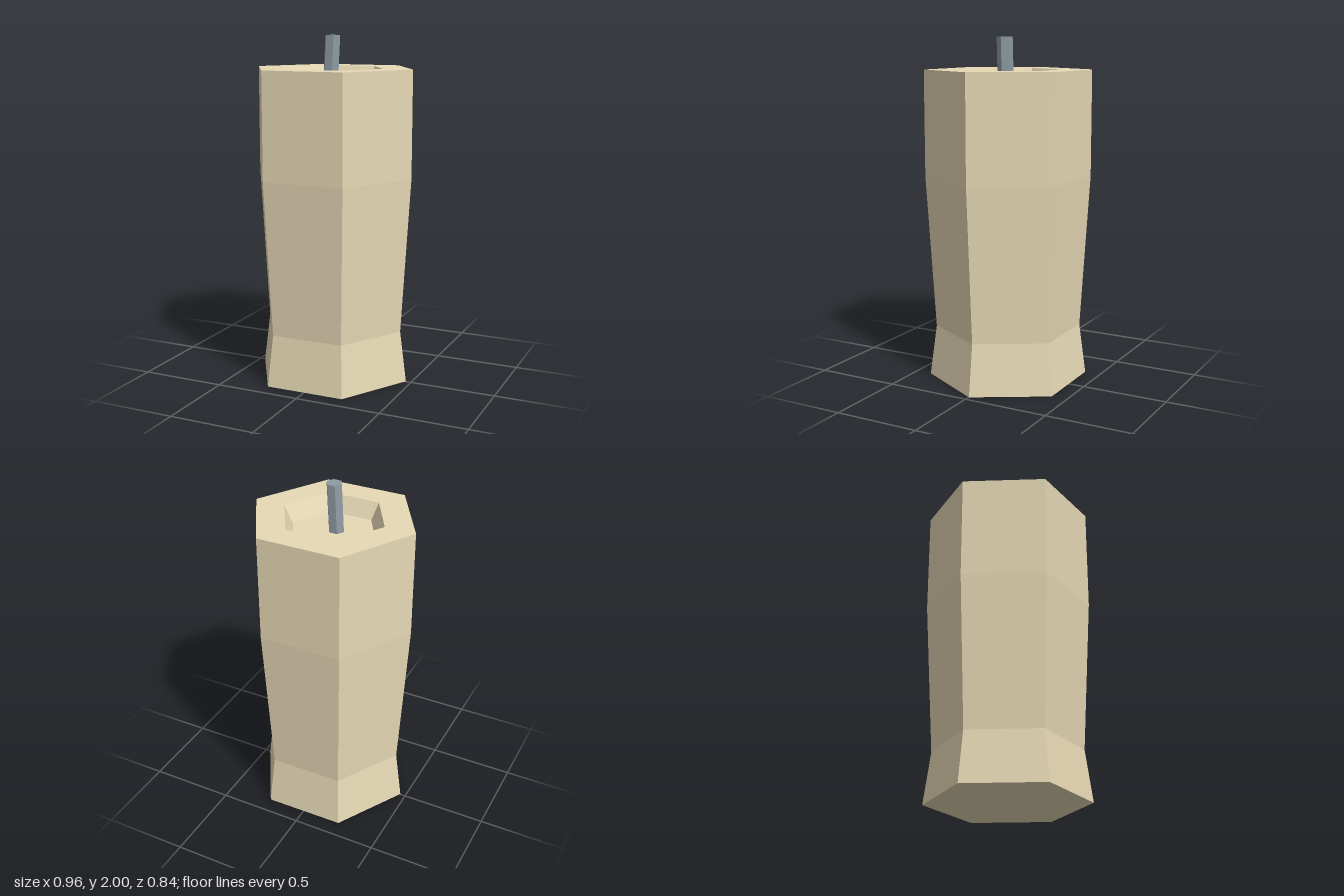
import * as THREE from 'three';

const SIDES = 6;

// Six-sided faceted solid turned from a [radius, height] profile, with a corner on +x
function hexLathe(name, profile, color) {
  const points = profile.map(([r, y]) => new THREE.Vector2(r, y));
  const geometry = new THREE.LatheGeometry(points, SIDES, Math.PI / 2);
  const material = new THREE.MeshStandardMaterial({ color, flatShading: true });
  const mesh = new THREE.Mesh(geometry, material);
  mesh.name = name;
  return mesh;
}

export function createModel() {
  const group = new THREE.Group();
  group.name = 'candle';

  const floorY = 1.72;
  const topY = 1.815;

  // Wax body: flared foot, narrow waist, straight upper part, recessed top
  const wax = hexLathe('waxBody', [
    [0, 0],
    [0.467, 0],
    [0.427, 0.3],
    [0.482, 1.2],
    [0.482, topY],
    [0.303, topY],
    [0.253, floorY],
    [0, floorY],
  ], 0xe6d9b5);
  wax.rotation.y = 0.007;
  group.add(wax);

  // Wick: thin hexagonal rod leaning slightly towards +x
  const height = 2 - floorY;
  const wick = hexLathe('wick', [
    [0, 0],
    [0.046, 0],
    [0.046, height],
    [0, height],
  ], 0x8f9ca5);
  const lean = 0.014 / height;
  wick.geometry.applyMatrix4(new THREE.Matrix4().makeShear(0, 0, lean, 0, 0, 0));
  wick.position.set(-0.008, floorY, 0.02);
  group.add(wick);

  return group;
}
